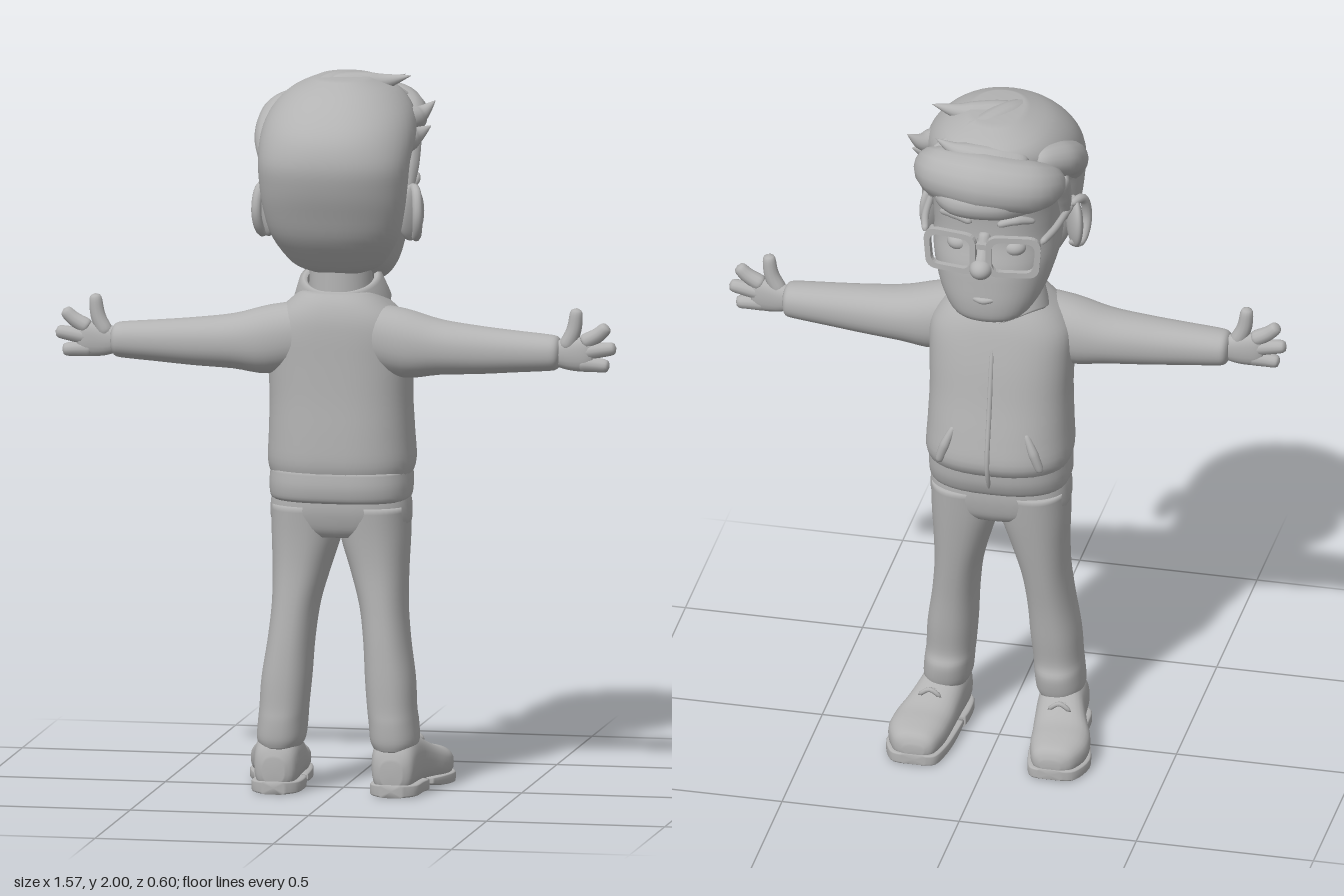
import * as THREE from 'three';
import { mergeVertices } from 'three/addons/utils/BufferGeometryUtils.js';

const clay = new THREE.MeshStandardMaterial({ color: 0xb3b3b3 });
clay.name = 'clay grey';

// Smooth value through neighbouring numbers
const spline = (a, b, c, d, t) =>
  b + 0.5 * t * (c - a + t * (2 * a - 5 * b + 4 * c - d + t * (3 * (b - c) + d - a)));

// Skin through cross-sections. Row: [position on axis, uMin, uMax, vMin, vMax], ascending.
// Axis y uses u = z, v = x; axis x uses u = y, v = z; axis z uses u = x, v = y.
function loft(axis, rows, power = 2.3, seg = 36, sub = 4) {
  const a = 'xyz'.indexOf(axis), u = (a + 1) % 3, v = (a + 2) % 3;
  const fine = [];
  rows.forEach((row, i) => {
    const at = k => rows[Math.max(0, Math.min(rows.length - 1, k))];
    const steps = i === rows.length - 1 ? 1 : sub;
    for (let s = 0; s < steps; s++)
      fine.push(row.map((n, k) => spline(at(i - 1)[k], n, at(i + 1)[k], at(i + 2)[k], s / sub)));
  });
  const pos = [], idx = [];
  const put = (t, p, q) => { const w = []; w[a] = t; w[u] = p; w[v] = q; pos.push(...w); };
  const bend = n => Math.sign(n) * Math.abs(n) ** (2 / power);
  for (const [t, u0, u1, v0, v1] of fine)
    for (let j = 0; j < seg; j++) {
      const th = j / seg * Math.PI * 2;
      put(t, (u0 + u1) / 2 + (u1 - u0) / 2 * bend(Math.cos(th)), (v0 + v1) / 2 + (v1 - v0) / 2 * bend(Math.sin(th)));
    }
  for (let i = 0; i < fine.length - 1; i++)
    for (let j = 0; j < seg; j++) {
      const p = i * seg + j, q = i * seg + (j + 1) % seg;
      idx.push(p, q, p + seg, q, q + seg, p + seg);
    }
  // End caps
  const n = fine.length;
  for (const e of [0, n - 1]) {
    const [t, u0, u1, v0, v1] = fine[e];
    put(t, (u0 + u1) / 2, (v0 + v1) / 2);
    const c = pos.length / 3 - 1;
    for (let j = 0; j < seg; j++) {
      const p = e * seg + j, q = e * seg + (j + 1) % seg;
      e ? idx.push(c, p, q) : idx.push(c, q, p);
    }
  }
  const g = new THREE.BufferGeometry();
  g.setAttribute('position', new THREE.Float32BufferAttribute(pos, 3));
  g.setIndex(idx);
  g.computeVertexNormals();
  return g;
}

// Round-ended tube whose radius follows a list of values
function limb(points, radii, steps = 20, sides = 12) {
  const curve = new THREE.CatmullRomCurve3(points.map(p => new THREE.Vector3(...p)));
  const g = new THREE.TubeGeometry(curve, steps, 1, sides);
  const p = g.attributes.position, w = new THREE.Vector3();
  for (let i = 0; i <= steps; i++) {
    const t = i / steps, c = curve.getPointAt(t), f = t * (radii.length - 1);
    const k = Math.min(radii.length - 2, Math.floor(f));
    const r = THREE.MathUtils.lerp(radii[k], radii[k + 1], f - k) * Math.sqrt(1 - (2 * t - 1) ** 8);
    for (let j = 0; j <= sides; j++) {
      const m = i * (sides + 1) + j;
      w.fromBufferAttribute(p, m).sub(c).multiplyScalar(r).add(c);
      p.setXYZ(m, w.x, w.y, w.z);
    }
  }
  g.deleteAttribute('uv'); g.deleteAttribute('normal');
  const out = mergeVertices(g, 1e-5);
  out.computeVertexNormals();
  return out;
}

const ball = (x, y, z, rx, ry, rz, turn = 0) =>
  new THREE.SphereGeometry(1, 28, 18).scale(rx, ry, rz).rotateY(turn).translate(x, y, z);

function mirrored(geo) {
  const g = geo.clone().scale(-1, 1, 1);
  if (!g.index) g.setIndex([...Array(g.attributes.position.count).keys()]);
  const ix = g.index.array;
  for (let i = 0; i < ix.length; i += 3) [ix[i], ix[i + 1]] = [ix[i + 1], ix[i]];
  g.computeVertexNormals();
  return g;
}

// Rounded spectacle rim with an open lens
function rim() {
  const outline = (path, w, h, r) => path.moveTo(-w + r, -h).lineTo(w - r, -h)
    .quadraticCurveTo(w, -h, w, -h + r).lineTo(w * 1.06, h - r).quadraticCurveTo(w * 1.06, h, w - r, h)
    .lineTo(-w + r, h).quadraticCurveTo(-w, h, -w, h - r).lineTo(-w, -h + r).quadraticCurveTo(-w, -h, -w + r, -h);
  const s = outline(new THREE.Shape(), 0.074, 0.062, 0.035);
  s.holes.push(outline(new THREE.Path(), 0.058, 0.046, 0.027));
  return new THREE.ExtrudeGeometry(s, { depth: 0.016, bevelEnabled: false, curveSegments: 6 })
    .rotateY(-0.15).translate(0.088, 1.638, -0.225);
}

// Tilted collar, open at the front, with its points drawn down
function collar() {
  const profile = [[0.095, 0.045], [0.105, 0.052], [0.118, 0.045], [0.14, -0.02], [0.135, -0.028], [0.115, -0.02], [0.095, 0.045]];
  const g = new THREE.LatheGeometry(profile.map(p => new THREE.Vector2(...p)).reverse(), 48, Math.PI + 0.2, Math.PI * 2 - 0.4);
  const p = g.attributes.position;
  for (let i = 0; i < p.count; i++) {
    const front = Math.max(0, -p.getZ(i) / 0.14) ** 4;
    if (p.getY(i) < 0) p.setY(i, p.getY(i) - 0.045 * front);
  }
  g.computeVertexNormals();
  return g.scale(0.97, 1, 0.98).rotateX(0.33).translate(0, 1.385, 0.025);
}

export function createModel() {
  const model = new THREE.Group();
  model.name = 'boy with glasses';
  const add = (name, geo, mat = clay) => {
    const m = new THREE.Mesh(geo, mat);
    m.name = name;
    model.add(m);
  };
  const pair = (name, geo) => { add(name, geo); add(name + 'Mirrored', mirrored(geo)); };

  // Jacket, hem band and hips
  add('jacket', loft('y', [
    [0.875, -0.125, 0.172, -0.19, 0.19], [0.92, -0.155, 0.187, -0.203, 0.203],
    [1.0, -0.145, 0.187, -0.2, 0.2], [1.1, -0.125, 0.183, -0.197, 0.197],
    [1.2, -0.108, 0.182, -0.2, 0.2], [1.28, -0.09, 0.182, -0.2, 0.2],
    [1.33, -0.075, 0.178, -0.175, 0.175], [1.37, -0.055, 0.165, -0.135, 0.135],
    [1.4, -0.03, 0.145, -0.1, 0.1]], 2.5, 44));
  add('hemBand', loft('y', [
    [0.815, -0.105, 0.165, -0.185, 0.185], [0.825, -0.12, 0.178, -0.194, 0.194],
    [0.86, -0.135, 0.185, -0.197, 0.197], [0.9, -0.14, 0.182, -0.194, 0.194]], 2.6));
  add('zip', limb([[0, 1.27, -0.092], [0, 1.1, -0.125], [0, 0.93, -0.154], [0, 0.84, -0.126]], [0.007, 0.007]));
  pair('pocketEdge', limb([[0.1, 1.03, -0.12], [0.125, 0.97, -0.128], [0.145, 0.91, -0.122]], [0.008, 0.014, 0.012]));
  add('hips', loft('y', [
    [0.715, -0.075, 0.125, -0.13, 0.13], [0.74, -0.09, 0.142, -0.187, 0.187],
    [0.79, -0.1, 0.155, -0.195, 0.195], [0.84, -0.1, 0.155, -0.188, 0.188]], 2.6));

  // Trouser legs
  pair('trouserLeg', loft('y', [
    [0.125, -0.005, 0.155, 0.105, 0.215], [0.15, -0.018, 0.163, 0.093, 0.225],
    [0.2, -0.026, 0.165, 0.088, 0.222], [0.24, -0.016, 0.162, 0.084, 0.218],
    [0.32, -0.026, 0.16, 0.077, 0.213], [0.42, -0.038, 0.154, 0.071, 0.198],
    [0.52, -0.055, 0.146, 0.058, 0.188], [0.62, -0.072, 0.14, 0.03, 0.188],
    [0.71, -0.086, 0.142, 0.002, 0.192], [0.8, -0.098, 0.15, -0.01, 0.192]]));

  // Shoes with sole and heel
  pair('shoe', loft('z', [
    [-0.222, 0.165, 0.22, 0.03, 0.06], [-0.205, 0.138, 0.255, 0.012, 0.09],
    [-0.15, 0.12, 0.28, 0.008, 0.105], [-0.09, 0.113, 0.278, 0.008, 0.115],
    [-0.03, 0.107, 0.255, 0.012, 0.14], [0.03, 0.102, 0.237, 0.012, 0.165],
    [0.1, 0.1, 0.23, 0.008, 0.17], [0.145, 0.11, 0.22, 0.008, 0.14],
    [0.163, 0.135, 0.195, 0.03, 0.1]], 2.5, 28));
  pair('sole', loft('z', [
    [-0.228, 0.16, 0.225, 0.006, 0.034], [-0.21, 0.13, 0.262, 0, 0.034],
    [-0.14, 0.112, 0.287, 0, 0.034], [-0.06, 0.104, 0.272, 0.004, 0.034],
    [0, 0.1, 0.25, 0.016, 0.034]], 7, 28));
  pair('heel', loft('z', [
    [0.015, 0.1, 0.245, 0, 0.036], [0.06, 0.095, 0.238, 0, 0.036],
    [0.13, 0.1, 0.232, 0, 0.036], [0.167, 0.135, 0.195, 0, 0.036]], 7, 28));
  for (const z of [-0.06, -0.03])
    pair('shoeLace', limb([[0.15, 0.118 - z * 0.2, z], [0.183, 0.118 - z * 0.55, z], [0.216, 0.118 - z * 0.2, z]], [0.007, 0.007], 8, 8));

  // Sleeves and hands
  pair('sleeve', loft('x', [
    [0.08, 1.19, 1.37, 0.01, 0.165], [0.19, 1.163, 1.353, 0, 0.173],
    [0.29, 1.174, 1.326, 0.008, 0.166], [0.4, 1.18, 1.312, 0.023, 0.16],
    [0.5, 1.188, 1.303, 0.034, 0.156], [0.59, 1.195, 1.296, 0.044, 0.152],
    [0.618, 1.2, 1.291, 0.05, 0.147], [0.628, 1.215, 1.278, 0.065, 0.135]], 2.2));
  pair('palm', loft('x', [
    [0.6, 1.215, 1.278, 0.075, 0.128], [0.65, 1.2, 1.287, 0.078, 0.13],
    [0.7, 1.198, 1.295, 0.083, 0.13], [0.722, 1.212, 1.282, 0.092, 0.122]], 2.3, 20));
  const fingers = [[[0.69, 1.275], [0.735, 1.3], [0.764, 1.327]], [[0.69, 1.25], [0.74, 1.258], [0.787, 1.265]],
    [[0.68, 1.22], [0.73, 1.217], [0.768, 1.213]], [[0.64, 1.255], [0.667, 1.31], [0.676, 1.374]]];
  fingers.forEach((f, i) => pair(i === 3 ? 'thumb' : 'finger' + (i + 1),
    limb(f.map(([x, y]) => [x, y, 0.107]), [0.024, 0.021, 0.018])));

  // Neck and collar
  add('neck', new THREE.CylinderGeometry(0.085, 0.09, 0.17, 28).translate(0, 1.42, 0.035));
  const cloth = clay.clone();
  cloth.side = THREE.DoubleSide;
  add('collar', collar(), cloth);

  // Head and face
  add('head', loft('y', [
    [1.395, -0.165, -0.09, -0.045, 0.045], [1.415, -0.195, -0.01, -0.1, 0.1],
    [1.46, -0.205, 0.08, -0.137, 0.137], [1.52, -0.205, 0.13, -0.16, 0.16],
    [1.58, -0.202, 0.17, -0.173, 0.173], [1.65, -0.187, 0.19, -0.175, 0.175],
    [1.72, -0.188, 0.2, -0.18, 0.18], [1.8, -0.195, 0.2, -0.183, 0.183],
    [1.88, -0.16, 0.18, -0.16, 0.16]], 2.4, 44));
  add('nose', ball(0, 1.597, -0.228, 0.032, 0.03, 0.037));
  add('noseBridge', limb([[0, 1.69, -0.18], [0, 1.65, -0.196], [0, 1.6, -0.228]], [0.018, 0.019, 0.026]));
  add('mouth', limb([[-0.05, 1.488, -0.188], [0, 1.482, -0.205], [0.05, 1.488, -0.188]], [0.005, 0.01, 0.005]));
  pair('eye', ball(0.078, 1.638, -0.155, 0.034, 0.026, 0.032));
  pair('eyebrow', limb([[0.035, 1.715, -0.187], [0.085, 1.732, -0.178], [0.135, 1.718, -0.145]], [0.01, 0.014, 0.008]));
  pair('ear', ball(0.2, 1.617, 0.055, 0.02, 0.078, 0.052, -0.5));
  pair('earRim', limb([[0.19, 1.57, 0.02], [0.215, 1.55, 0.06], [0.226, 1.61, 0.095], [0.218, 1.68, 0.075], [0.193, 1.685, 0.02]], [0.01, 0.014, 0.014, 0.012]));

  // Glasses
  pair('glassesRim', rim());
  add('glassesBridge', new THREE.BoxGeometry(0.044, 0.016, 0.016).translate(0, 1.665, -0.222));
  pair('glassesArm', limb([[0.163, 1.683, -0.205], [0.182, 1.683, -0.12], [0.19, 1.68, -0.03], [0.196, 1.672, 0.045]], [0.011, 0.01, 0.009]));

  // Hair: rounded back, quiff and swept locks
  add('hairBack', loft('y', [
    [1.45, 0.035, 0.115, -0.07, 0.07], [1.475, 0.01, 0.155, -0.125, 0.125],
    [1.55, 0.01, 0.222, -0.175, 0.175], [1.63, 0.015, 0.26, -0.196, 0.196],
    [1.7, 0.0, 0.287, -0.205, 0.205], [1.77, -0.03, 0.3, -0.21, 0.21],
    [1.84, -0.15, 0.283, -0.212, 0.212], [1.9, -0.2, 0.235, -0.192, 0.192],
    [1.95, -0.19, 0.17, -0.145, 0.145], [1.985, -0.1, 0.09, -0.07, 0.075]], 2.2, 44));
  const locks = [
    ['quiff', [[-0.19, 1.82, -0.08], [-0.12, 1.85, -0.19], [0.02, 1.865, -0.213], [0.13, 1.86, -0.17], [0.18, 1.84, -0.07]], [0.05, 0.075, 0.084, 0.075, 0.04]],
    ['quiffRoll', [[-0.15, 1.81, -0.17], [-0.04, 1.815, -0.24], [0.08, 1.815, -0.235], [0.15, 1.84, -0.17]], [0.04, 0.048, 0.045, 0.02]],
    ['crownLock', [[-0.13, 1.91, 0.06], [0, 1.955, 0.01], [0.1, 1.965, -0.02], [0.185, 1.985, -0.03]], [0.04, 0.042, 0.032, 0.003]],
    ['frontLock', [[-0.12, 1.89, -0.15], [0, 1.92, -0.18], [0.08, 1.935, -0.18], [0.14, 1.965, -0.18]], [0.045, 0.042, 0.03, 0.003]],
    ['sideSpike', [[0.08, 1.85, 0.04], [0.17, 1.865, -0.01], [0.205, 1.875, -0.05], [0.243, 1.91, -0.08]], [0.05, 0.042, 0.03, 0.003]],
    ['lowerSpike', [[0.15, 1.81, 0.08], [0.195, 1.82, 0], [0.238, 1.845, -0.04]], [0.05, 0.035, 0.003]],
    ['partingLock', [[-0.12, 1.9, -0.14], [-0.185, 1.865, -0.04], [-0.192, 1.81, 0.06], [-0.17, 1.72, 0.13]], [0.04, 0.05, 0.046, 0.03]],
    ['topLock', [[-0.1, 1.93, 0.12], [-0.02, 1.955, 0], [0.06, 1.94, -0.1], [0.16, 1.91, -0.15]], [0.03, 0.04, 0.04, 0.01]]];
  for (const [name, path, radii] of locks) add(name, limb(path, radii, 28, 16));
  pair('sideburn', limb([[0.17, 1.82, -0.06], [0.178, 1.74, -0.02], [0.178, 1.64, 0.015]], [0.04, 0.03, 0.014]));

  return model;
}
